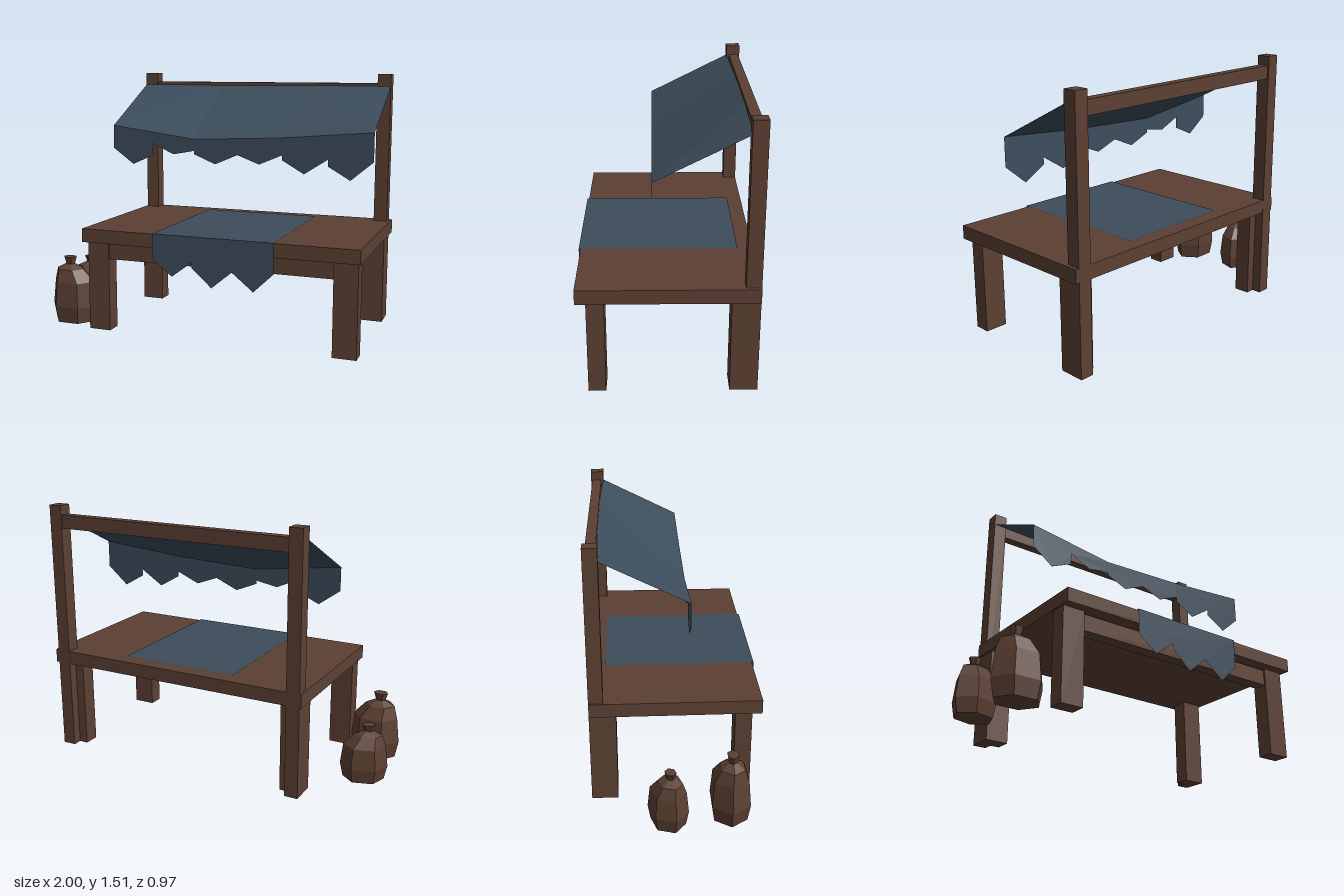
import * as THREE from 'three';

export function createModel() {
  const model = new THREE.Group();
  model.name = 'marketStall';
  const brown = new THREE.MeshStandardMaterial({ color: 0x5c4033, flatShading: true });
  brown.name = 'dark brown wood and burlap';
  const blue = new THREE.MeshStandardMaterial({ color: 0x3d4d5c, flatShading: true, side: THREE.DoubleSide });
  blue.name = 'slate blue cloth';

  const add = (name, geometry, material) => {
    const mesh = new THREE.Mesh(geometry, material);
    mesh.name = name;
    model.add(mesh);
    return mesh;
  };
  // Box given by its min and max on each axis
  const box = (name, [x0, x1], [y0, y1], [z0, z1]) =>
    add(name, new THREE.BoxGeometry(x1 - x0, y1 - y0, z1 - z0), brown)
      .position.set((x0 + x1) / 2, (y0 + y1) / 2, (z0 + z1) / 2);

  // Table
  box('tableTop', [-0.65, 1], [0.54, 0.62], [-0.485, 0.475]);
  for (const [side, x] of [['right', [-0.64, -0.505]], ['left', [0.845, 0.98]]]) {
    box(side + 'FrontLeg', x, [0, 0.54], [0.325, 0.42]);
    box(side + 'RearLeg', x, [0, 0.54], [-0.43, -0.335]);
  }
  box('frontRail', [-0.505, 0.845], [0.435, 0.53], [0.335, 0.41]);

  // Rear posts and the beam between them
  box('rightPost', [-0.64, -0.56], [0, 1.515], [-0.486, -0.405]);
  box('leftPost', [0.9, 0.98], [0, 1.515], [-0.486, -0.405]);
  box('topBeam', [-0.56, 0.9], [1.38, 1.46], [-0.477, -0.42]);

  // Sagging awning, from its rear edge to its front edge
  const rear = [[-0.637, 1.443, -0.41], [-0.11, 1.438, -0.42], [0.48, 1.443, -0.42], [0.98, 1.443, -0.41]];
  const front = [[-0.637, 1.2, 0.075], [-0.1, 1.13, 0.075], [0.45, 1.155, 0.075], [0.98, 1.2, 0.075]];
  const sheet = new THREE.BufferGeometry();
  sheet.setAttribute('position', new THREE.Float32BufferAttribute([...rear, ...front].flat(), 3));
  sheet.setIndex([0, 4, 1, 1, 4, 5, 1, 5, 2, 2, 5, 6, 2, 6, 7, 2, 7, 3]);
  sheet.computeVertexNormals();
  add('awning', sheet, blue);

  // Flat hanging cloth with a ragged lower edge
  const hanging = (name, outline, z) => {
    const shape = new THREE.Shape(outline.map(([x, y]) => new THREE.Vector2(x, y)));
    add(name, new THREE.ShapeGeometry(shape), blue).position.z = z;
  };
  hanging('awningValance', [
    ...front.slice().reverse(),
    [-0.637, 1.06], [-0.505, 0.965], [-0.37, 1.025], [-0.37, 1.095], [-0.235, 1.035],
    [-0.1, 1.06], [-0.1, 1.04], [0.035, 0.985], [0.175, 1.045], [0.31, 0.995],
    [0.45, 1.055], [0.45, 1.025], [0.58, 0.95], [0.72, 1.04], [0.72, 1.0],
    [0.85, 0.925], [0.98, 1.035],
  ], 0.075);

  // Table cloth lying on the top and falling over the front
  const runner = new THREE.PlaneGeometry(0.72, 0.885).rotateX(-Math.PI / 2);
  add('tableCloth', runner, blue).position.set(0.17, 0.624, 0.0425);
  hanging('tableClothFlap', [
    [0.53, 0.624], [-0.19, 0.624], [-0.19, 0.475], [-0.07, 0.385], [0.05, 0.475], [0.05, 0.445],
    [0.17, 0.34], [0.29, 0.44], [0.415, 0.34], [0.53, 0.45],
  ], 0.485);

  // Six-sided sacks with a tied neck set slightly off centre
  const profile = [[0, 0], [0.132, 0], [0.152, 0.1], [0.135, 0.25], [0.09, 0.325], [0.03, 0.355], [0.044, 0.4], [0, 0.4]];
  const sackGeometry = new THREE.LatheGeometry(
    profile.map(([r, y]) => new THREE.Vector2(r, y)), 6, Math.PI / 2);
  sackGeometry.scale(1, 1, 0.81);
  const p = sackGeometry.attributes.position;
  for (let i = 0; i < p.count; i++) {
    if (p.getY(i) > 0.3) {
      p.setX(i, p.getX(i) - 0.023);
      p.setZ(i, p.getZ(i) + 0.007);
    }
  }
  sackGeometry.computeVertexNormals();
  add('largeSack', sackGeometry, brown).position.set(-0.817, 0, 0.287);
  const small = add('smallSack', sackGeometry, brown);
  small.position.set(-0.87, 0, -0.06);
  small.rotation.y = 0.3;
  small.scale.set(0.9, 0.825, 0.9);

  return model;
}
